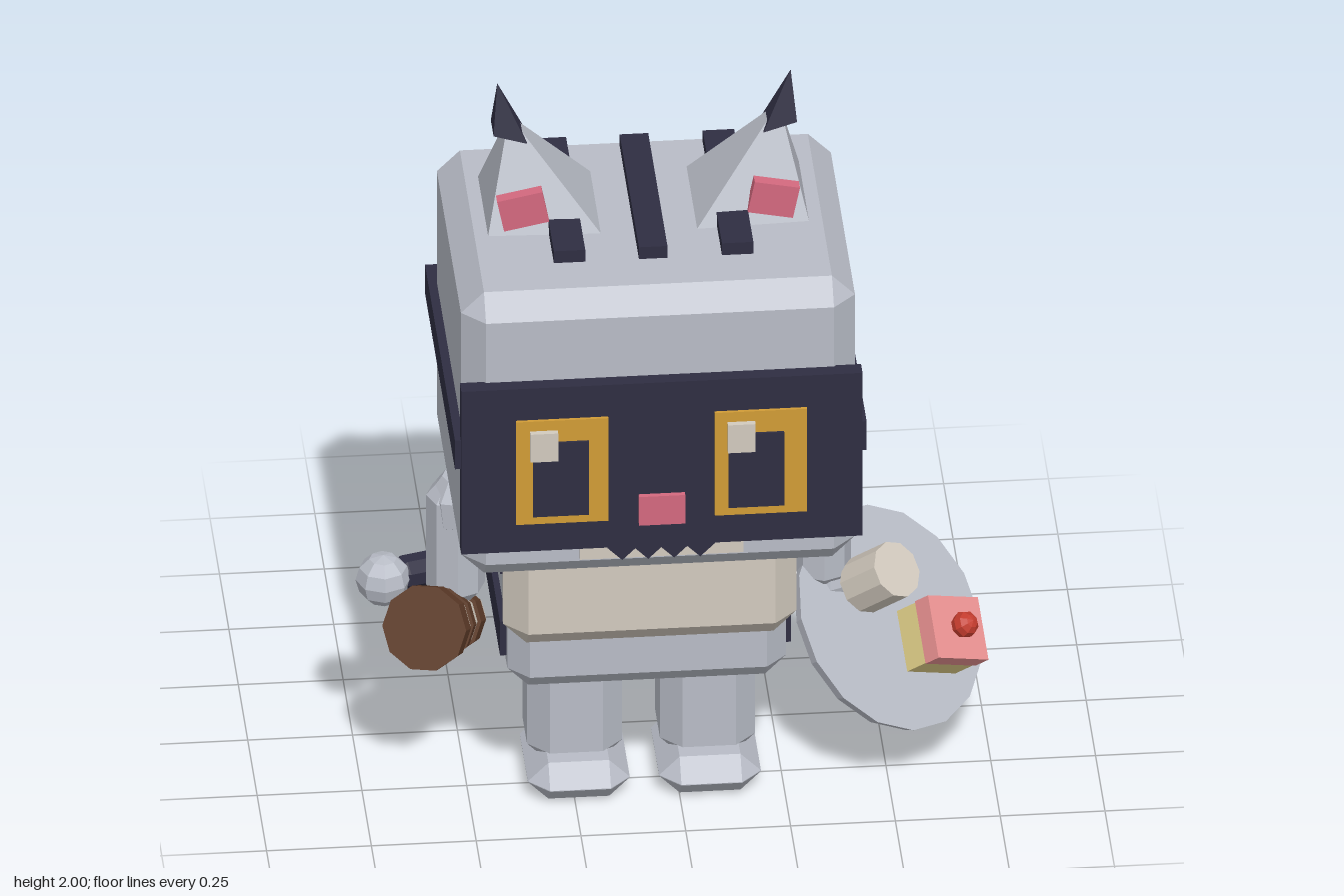
import * as THREE from 'three';
import { ConvexGeometry } from 'three/addons/geometries/ConvexGeometry.js';

const mat = (name, color) => {
  const m = new THREE.MeshStandardMaterial({ color });
  m.name = name;
  return m;
};
const V = (x, y, z) => new THREE.Vector3(x, y, z);
const UP = V(0, 1, 0);
const MID = -0.083; // the body's own mirror plane

export function createModel() {
  const model = new THREE.Group();
  const grey = mat('grey fur', 0xb8bcc6), navy = mat('navy', 0x2f2e42), gold = mat('gold', 0xd19c36);
  const cream = mat('cream', 0xd2cabe), pink = mat('pink', 0xd4697f), icing = mat('icing pink', 0xe69090);
  const sponge = mat('sponge yellow', 0xe0cf88), cherryRed = mat('cherry red', 0xc43c2e);
  const tan = mat('tan sack', 0xbf986a), brown = mat('brown', 0x5e3c29);

  // Adds a faceted mesh
  const add = (name, geo, material, pos) => {
    const g = geo.index ? geo.toNonIndexed() : geo;
    g.computeVertexNormals();
    const mesh = new THREE.Mesh(g, material);
    mesh.name = name;
    if (pos) mesh.position.copy(pos);
    model.add(mesh);
    return mesh;
  };
  // Box given by its minimum and maximum on each axis
  const box = (name, m, x0, x1, y0, y1, z0, z1) =>
    add(name, new THREE.BoxGeometry(x1 - x0, y1 - y0, z1 - z0), m, V((x0 + x1) / 2, (y0 + y1) / 2, (z0 + z1) / 2));
  // Box with all edges and corners cut off
  const chamferBox = (name, m, x0, x1, y0, y1, z0, z1, b) => {
    const h = [(x1 - x0) / 2, (y1 - y0) / 2, (z1 - z0) / 2], pts = [];
    for (const sx of [-1, 1]) for (const sy of [-1, 1]) for (const sz of [-1, 1])
      for (let k = 0; k < 3; k++) {
        const c = h.map((v, i) => (i === k ? v : v - b));
        pts.push(V(sx * c[0], sy * c[1], sz * c[2]));
      }
    return add(name, new ConvexGeometry(pts), m, V((x0 + x1) / 2, (y0 + y1) / 2, (z0 + z1) / 2));
  };
  // Cylinder with bevelled ends between two points
  const limb = (name, m, a, b, r, cut = 0.35, sides = 8) => {
    const h = a.distanceTo(b) / 2, c = r * cut * 1.2;
    const profile = [[0, -h], [r * (1 - cut), -h], [r, c - h], [r, h - c], [r * (1 - cut), h], [0, h]];
    const geo = new THREE.LatheGeometry(profile.map(([x, y]) => new THREE.Vector2(x, y)), sides);
    const mesh = add(name, geo, m, a.clone().lerp(b, 0.5));
    mesh.quaternion.setFromUnitVectors(UP, b.clone().sub(a).normalize());
    return mesh;
  };
  // Mirrors an x range across the body's plane
  const range = (s, lo, hi) => (s > 0 ? [MID + lo, MID + hi] : [MID - hi, MID - lo]);

  // Head
  chamferBox('head', grey, -0.553, 0.387, 0.865, 1.65, -0.01, 0.74, 0.055);
  box('headStripeMiddle', navy, -0.118, -0.05, 1.63, 1.683, 0.06, 0.57);
  for (const s of [-1, 1]) {
    box('headStripeSide', navy, ...range(s, 0.163, 0.238), 1.63, 1.683, 0.06, 0.57);
    const at = (d, y, z) => V(MID + s * d, y, z);
    add('ear', new ConvexGeometry([at(0.107, 1.64, 0.16), at(0.385, 1.64, 0.16), at(0.107, 1.64, 0.452),
      at(0.385, 1.64, 0.44), at(0.322, 1.91, 0.313)]), grey);
    add('earTip', new ConvexGeometry([at(0.282, 1.85, 0.276), at(0.362, 1.875, 0.276), at(0.282, 1.85, 0.35),
      at(0.362, 1.875, 0.35), at(0.35, 2, 0.313)]), navy);
    add('innerEar', new THREE.BoxGeometry(0.11, 0.085, 0.03), pink, at(0.299, 1.713, 0.42)).rotation.z = -s * 0.2;
    box('cheek', pink, ...range(s, 0.33, 0.46), 1.02, 1.075, 0.715, 0.745);
  }

  // Mask, face and straps
  box('mask', navy, -0.56, 0.397, 0.975, 1.43, 0.735, 0.775);
  for (const s of [-1, 1]) {
    box('eye', gold, ...range(s, 0.127, 0.347), 1.055, 1.342, 0.774, 0.783);
    const px = s < 0 ? -0.39 : 0.076, hx = s < 0 ? -0.397 : 0.074;
    box('pupil', navy, px, px + 0.133, 1.078, 1.283, 0.782, 0.789);
    box('eyeHighlight', cream, hx, hx + 0.066, 1.237, 1.315, 0.782, 0.798);
    box('sideStrap', navy, ...range(s, 0.465, 0.491), 1.205, 1.285, -0.033, 0.76);
  }
  box('nose', pink, -0.137, -0.027, 1.04, 1.12, 0.77, 0.788);
  box('muzzle', cream, -0.275, 0.115, 0.93, 1.1, 0.72, 0.752);
  for (let i = 0; i < 4; i++) {
    const tooth = add('mouth', new THREE.BoxGeometry(0.05, 0.05, 0.025), navy, V(MID + (i - 1.5) * 0.062, 0.972, 0.76));
    tooth.rotation.z = Math.PI / 4;
  }
  box('backStrap', navy, -0.574, 0.408, 1.205, 1.285, -0.035, 0);
  box('strapKnot', navy, -0.142, -0.022, 1.178, 1.3, -0.09, -0.03);
  for (const s of [-1, 1]) {
    const a = V(MID + s * 0.045, 1.25, -0.06), b = V(MID + s * 0.163, 1.015, -0.325);
    const tie = add('strapTail', new THREE.BoxGeometry(0.085, 0.035, a.distanceTo(b)), navy, a.clone().lerp(b, 0.5));
    tie.lookAt(b);
  }

  // Body
  chamferBox('body', grey, -0.415, 0.25, 0.355, 1.03, -0.085, 0.43, 0.05);
  chamferBox('belly', cream, -0.433, 0.267, 0.53, 0.92, 0.4, 0.525, 0.055);
  for (const y of [0.425, 0.653, 0.885]) box('bodyStripe', navy, -0.43, 0.264, y, y + 0.093, -0.106, 0.355);

  // Legs and shoulders
  for (const s of [-1, 1]) {
    chamferBox('leg', grey, ...range(s, 0.045, 0.272), 0.05, 0.42, 0.062, 0.285, 0.05);
    chamferBox('foot', grey, ...range(s, 0.035, 0.278), 0, 0.1, 0.062, 0.375, 0.049);
    const x = (d) => MID + s * d;
    limb('shoulder', grey, V(x(0.41), 0.67, 0.172), V(x(0.425), 0.825, 0.172), 0.08, 0.45);
    limb('arm', grey, V(x(0.437), 0.49, 0.172), V(x(0.437), 0.8, 0.172), 0.07);
  }

  // Right hand holding a banded cup
  limb('rightWrist', navy, V(-0.53, 0.53, 0.1), V(-0.66, 0.545, 0.16), 0.042);
  add('rightHand', new THREE.SphereGeometry(0.066, 8, 6), grey, V(-0.693, 0.545, 0.178));
  const cupTop = V(-0.61, 0.505, 0.345), cupEnd = V(-0.505, 0.395, 0.12);
  const cupAxis = cupTop.clone().sub(cupEnd), cupLength = cupAxis.length();
  const bands = [[0, 0.15, cream, 0.07], [0.15, 0.33, brown, 0.083], [0.33, 0.5, cream, 0.078],
    [0.5, 0.62, brown, 0.09], [0.62, 0.82, cream, 0.086], [0.82, 1, brown, 0.105]];
  for (const [t0, t1, m, r] of bands) {
    const band = add('cupBand', new THREE.CylinderGeometry(r, r - 0.004, (t1 - t0) * cupLength, 10), m,
      cupEnd.clone().addScaledVector(cupAxis, (t0 + t1) / 2));
    band.quaternion.setFromUnitVectors(UP, cupAxis.clone().normalize());
  }

  // Left hand with a tilted plate of sweets
  add('leftHand', new THREE.SphereGeometry(0.066, 8, 6), grey, V(0.37, 0.485, 0.165));
  const n = V(0.58, 0.63, 0.52).normalize();
  const onPlate = (name, geo, m, pos, spin = 0) =>
    add(name, geo.rotateY(spin), m, pos).quaternion.setFromUnitVectors(UP, n);
  onPlate('plate', new THREE.CylinderGeometry(0.28, 0.27, 0.03, 16), grey, V(0.507, 0.37, 0.187));
  onPlate('marshmallow', new THREE.CylinderGeometry(0.07, 0.07, 0.13, 10), cream, V(0.485, 0.53, 0.253));
  const cakeTop = V(0.672, 0.38, 0.255), below = (d) => cakeTop.clone().addScaledVector(n, -d);
  onPlate('cakeSponge', new THREE.BoxGeometry(0.15, 0.11, 0.15), sponge, below(0.1), 0.35);
  onPlate('cakeIcing', new THREE.BoxGeometry(0.155, 0.05, 0.155), icing, below(0.025), 0.35);
  onPlate('cherry', new THREE.SphereGeometry(0.033, 8, 6), cherryRed, below(-0.025));

  // Sack with its gathered neck
  add('sack', new THREE.SphereGeometry(0.29, 10, 7).scale(1, 0.9, 0.97), tan, V(MID, 0.785, -0.365));
  const neck = [[0.085, 0.09, 1.01, 1.05, tan], [0.068, 0.068, 1.05, 1.085, brown], [0.14, 0.06, 1.08, 1.147, tan]];
  for (const [rt, rb, y0, y1, m] of neck)
    add('sackNeck', new THREE.CylinderGeometry(rt, rb, y1 - y0, 9), m, V(MID, (y0 + y1) / 2, -0.375));
  box('sackHook', brown, -0.127, -0.04, 1.03, 1.065, -0.175, 0.01);
  box('sackHookEnd', brown, -0.127, -0.04, 0.985, 1.065, -0.175, -0.148);
  add('coin', new THREE.CylinderGeometry(0.095, 0.095, 0.025, 10).rotateX(Math.PI / 2 - 0.2), gold, V(0.06, 0.7, -0.125));
  const patch = add('sackPatch', new THREE.BoxGeometry(0.1, 0.12, 0.03), tan, V(-0.23, 0.83, -0.15));
  patch.rotation.y = -0.5;

  // Tail curling under the sack
  const path = [[MID, 0.455, -0.02], [MID, 0.435, -0.18], [MID, 0.42, -0.34], [-0.08, 0.46, -0.5],
    [-0.07, 0.565, -0.62], [-0.055, 0.7, -0.69], [-0.025, 0.86, -0.71]].map((p) => V(...p));
  for (let i = 0; i < path.length - 1; i++) {
    const dir = path[i + 1].clone().sub(path[i]).normalize().multiplyScalar(0.025);
    limb('tailSegment', grey, path[i].clone().sub(dir), path[i + 1].clone().add(dir), 0.112 - i * 0.004, 0.2);
  }
  limb('tailTip', navy, V(-0.02, 0.825, -0.715), V(0.005, 1.095, -0.695), 0.098, 0.42);
  return model;
}
